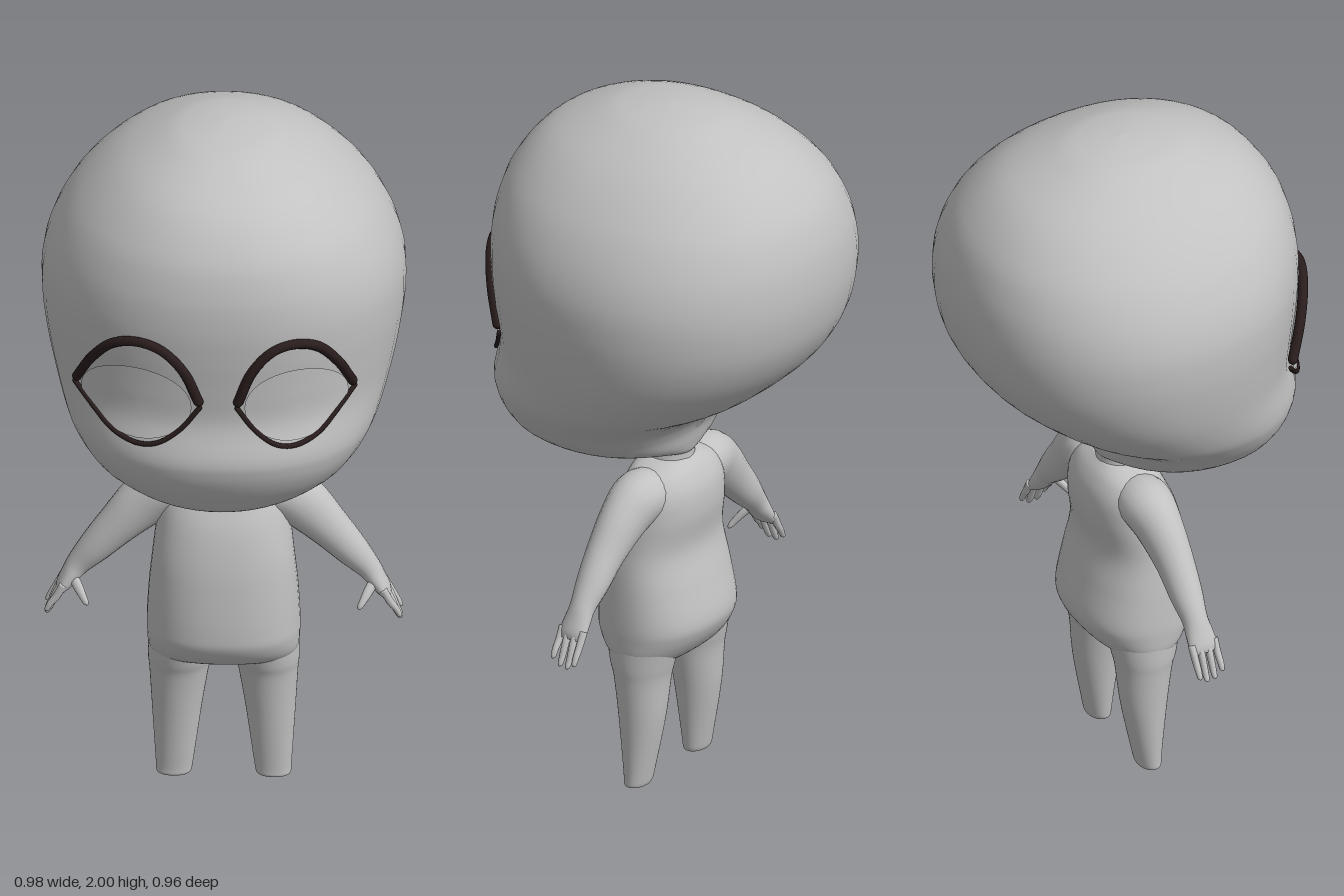
import * as THREE from 'three';

const SIDES = 48;
const STEPS = 6;

// Smoothly resample rows of numbers with a Catmull-Rom rule
function smoothRows(rows) {
  const out = [];
  const at = (i) => rows[Math.min(Math.max(i, 0), rows.length - 1)];
  for (let i = 0; i < rows.length - 1; i++) {
    for (let k = 0; k < STEPS; k++) {
      const t = k / STEPS;
      out.push(rows[i].map((b, c) => {
        const a = at(i - 1)[c], d = at(i + 1)[c], e = at(i + 2)[c];
        return b + 0.5 * t * (d - a + t * (2 * a - 5 * b + 4 * d - e + t * (3 * (b - d) + e - a)));
      }));
    }
  }
  out.push(rows[rows.length - 1]);
  return out;
}

// Skin a list of equal rings and close both ends
function skin(rings) {
  const n = rings[0].length, last = rings.length - 1;
  const centre = (ring) => ring.reduce((s, p) => s.add(p), new THREE.Vector3()).divideScalar(n);
  const pts = [...rings.flat(), centre(rings[0]), centre(rings[last])];
  const index = [];
  for (let j = 0; j < n; j++) {
    const k = (j + 1) % n;
    for (let i = 0; i < last; i++) {
      const a = i * n + j, b = i * n + k;
      index.push(a, b, a + n, b, b + n, a + n);
    }
    index.push(pts.length - 2, k, j, pts.length - 1, last * n + j, last * n + k);
  }
  const g = new THREE.BufferGeometry().setFromPoints(pts);
  g.setIndex(index);
  g.computeVertexNormals();
  return g;
}

// Upright form from rows, bottom to top: [y, centre x, half width, front z, back z]
function upright(rows, power = 2) {
  const bend = (v) => Math.sign(v) * Math.abs(v) ** (2 / power);
  return skin(rows.map(([y, x, w, f, b]) => Array.from({ length: SIDES }, (_, j) => {
    const a = (j / SIDES) * Math.PI * 2;
    return new THREE.Vector3(x + w * bend(Math.sin(a)), y, (f + b) / 2 + (f - b) / 2 * bend(Math.cos(a)));
  })));
}

// Limb along a path of [x, y, z, radius in plane, radius in z]
function limb(path, sides = 20) {
  const rows = smoothRows(path);
  return skin(rows.map(([x, y, z, r, rz], i) => {
    const p = rows[Math.max(i - 1, 0)], q = rows[Math.min(i + 1, rows.length - 1)];
    const d = new THREE.Vector2(q[0] - p[0], q[1] - p[1]).normalize();
    return Array.from({ length: sides }, (_, j) => {
      const a = (j / sides) * Math.PI * 2, c = r * Math.cos(a);
      return new THREE.Vector3(x - d.y * c, y + d.x * c, z + rz * Math.sin(a));
    });
  }));
}

const HEAD_POWER = 2.15;
const headRows = smoothRows([
  [0.962, 0, 0.05, 0.27, -0.04], [0.97, 0, 0.11, 0.325, -0.055], [1.0, 0, 0.235, 0.385, -0.065],
  [1.05, 0, 0.315, 0.425, -0.08], [1.1, 0, 0.36, 0.455, -0.115], [1.15, 0, 0.395, 0.474, -0.185],
  [1.2, 0, 0.422, 0.478, -0.27], [1.3, 0, 0.455, 0.455, -0.38], [1.4, 0, 0.477, 0.463, -0.445],
  [1.5, 0, 0.489, 0.475, -0.474], [1.6, 0, 0.485, 0.482, -0.48], [1.7, 0, 0.453, 0.474, -0.465],
  [1.8, 0, 0.39, 0.44, -0.42], [1.9, 0, 0.285, 0.355, -0.32], [1.97, 0, 0.16, 0.21, -0.17],
  [1.992, 0, 0.08, 0.11, -0.08], [2.0, 0, 0.005, 0.025, 0.01],
]);

// Depth of the face at a given x and y
function faceZ(x, y) {
  const i = headRows.findIndex((r) => r[0] >= y);
  const p = headRows[i - 1], q = headRows[i], t = (y - p[0]) / (q[0] - p[0]);
  const [w, f, b] = [2, 3, 4].map((c) => p[c] + (q[c] - p[c]) * t);
  const k = Math.max(0, 1 - (Math.abs(x) / w) ** HEAD_POWER) ** (1 / HEAD_POWER);
  return (f + b) / 2 + (f - b) / 2 * k;
}

// Point on an eye; the right eye spreads a little wider
function eyePoint(side, x, y, lift) {
  const spread = side > 0 ? x : 0.045 + (x - 0.045) * 1.09;
  return new THREE.Vector3(side * spread, y, faceZ(x, y) + lift);
}

export function createModel() {
  const model = new THREE.Group();
  const skinMat = new THREE.MeshStandardMaterial({ color: 0xc2c2c2 });
  skinMat.name = 'skin grey';
  const eyeMat = new THREE.MeshStandardMaterial({ color: 0xc8c8c8, side: THREE.DoubleSide });
  eyeMat.name = 'eye grey';
  const lashMat = new THREE.MeshStandardMaterial({ color: 0x2a1d1d });
  lashMat.name = 'lash brown';
  const add = (name, geometry, material = skinMat) => {
    const mesh = new THREE.Mesh(geometry, material);
    mesh.name = name;
    model.add(mesh);
  };

  add('head', upright(headRows, HEAD_POWER));
  add('neck', upright(smoothRows([
    [0.88, 0, 0.09, 0.08, -0.07], [0.95, 0, 0.066, 0.082, -0.052],
    [1.02, 0, 0.068, 0.09, -0.064], [1.1, 0, 0.1, 0.1, -0.115],
  ])));
  add('torso', upright(smoothRows([
    [0.35, 0, 0.1, 0.04, -0.03], [0.37, 0, 0.172, 0.095, -0.06], [0.4, 0, 0.2, 0.145, -0.095],
    [0.45, 0, 0.206, 0.178, -0.128], [0.5, 0, 0.206, 0.184, -0.137], [0.6, 0, 0.2, 0.18, -0.115],
    [0.7, 0, 0.19, 0.17, -0.092], [0.8, 0, 0.178, 0.148, -0.104], [0.87, 0, 0.165, 0.118, -0.1],
    [0.92, 0, 0.135, 0.096, -0.078], [0.95, 0, 0.07, 0.08, -0.05],
  ]), 2.3));

  for (const s of [1, -1]) {
    const side = s > 0 ? 'left' : 'right';
    const flip = (path) => path.map(([x, ...rest]) => [s * x, ...rest]);

    add(`${side}Leg`, upright(smoothRows([
      [0, s * 0.135, 0.04, 0.048, -0.004], [0.006, s * 0.134, 0.047, 0.055, -0.01],
      [0.04, s * 0.132, 0.051, 0.058, -0.018], [0.2, s * 0.126, 0.067, 0.077, -0.048],
      [0.32, s * 0.12, 0.08, 0.095, -0.06], [0.37, s * 0.117, 0.087, 0.11, -0.07],
      [0.46, s * 0.11, 0.092, 0.13, -0.09],
    ])));

    add(`${side}Arm`, limb(flip([
      [0.08, 0.87, 0.01, 0.06, 0.07], [0.15, 0.868, 0.01, 0.075, 0.075], [0.215, 0.825, 0.015, 0.073, 0.063],
      [0.285, 0.755, 0.02, 0.058, 0.052], [0.345, 0.687, 0.02, 0.046, 0.045], [0.388, 0.637, 0.02, 0.034, 0.036],
      [0.41, 0.605, 0.021, 0.027, 0.039], [0.432, 0.572, 0.022, 0.019, 0.042], [0.442, 0.556, 0.022, 0.01, 0.036],
    ])));

    // Four fingers and a thumb
    [[0.056, 0.505], [0.033, 0.488], [0.009, 0.486], [-0.013, 0.5]].forEach(([z, tip], i) => {
      add(`${side}Finger${i + 1}`, limb(flip([
        [0.43, 0.585, z, 0.011, 0.011], [0.448, 0.55, z, 0.011, 0.01], [0.465, tip + 0.022, z, 0.009, 0.009],
        [0.474, tip + 0.004, z, 0.007, 0.007], [0.475, tip, z, 0.003, 0.003],
      ]), 10));
    });
    add(`${side}Thumb`, limb(flip([
      [0.41, 0.61, 0.035, 0.014, 0.015], [0.392, 0.585, 0.058, 0.014, 0.013], [0.375, 0.558, 0.078, 0.01, 0.01],
      [0.367, 0.545, 0.085, 0.007, 0.007], [0.366, 0.54, 0.086, 0.002, 0.002],
    ]), 10));

    // Eye surface, a thin curved oval
    const eye = new THREE.RingGeometry(0.001, 1, 32, 6);
    const pos = eye.attributes.position;
    for (let i = 0; i < pos.count; i++) {
      const x = 0.208 + 0.138 * pos.getX(i), y = 1.36 + 0.11 * pos.getY(i);
      const p = eyePoint(s, x, y, 0.005);
      pos.setXYZ(i, p.x, p.y, p.z);
    }
    if (s < 0) eye.setIndex(Array.from(eye.index.array).reverse());
    eye.computeVertexNormals();
    add(`${side}Eye`, eye, eyeMat);

    // Thick upper lash line and fine lower line
    const line = (name, pts, radius) => {
      const curve = new THREE.CatmullRomCurve3(pts.map(([x, y]) => eyePoint(s, x, y, 0.004)));
      const tube = new THREE.TubeGeometry(curve, 40, radius, 8);
      const ends = [0, 1].map((t) => curve.getPoint(t));
      add(name, tube, lashMat);
      ends.forEach((p) => add(`${name}End`, new THREE.SphereGeometry(radius, 8, 6).translate(p.x, p.y, p.z), lashMat));
    };
    line(`${side}UpperLash`, [[0.053, 1.38], [0.09, 1.475], [0.145, 1.537], [0.205, 1.553],
      [0.265, 1.532], [0.318, 1.465], [0.356, 1.38]], 0.014);
    line(`${side}LowerLash`, [[0.05, 1.36], [0.1, 1.287], [0.155, 1.245], [0.205, 1.236],
      [0.265, 1.256], [0.32, 1.31], [0.362, 1.36]], 0.007);
  }
  return model;
}
